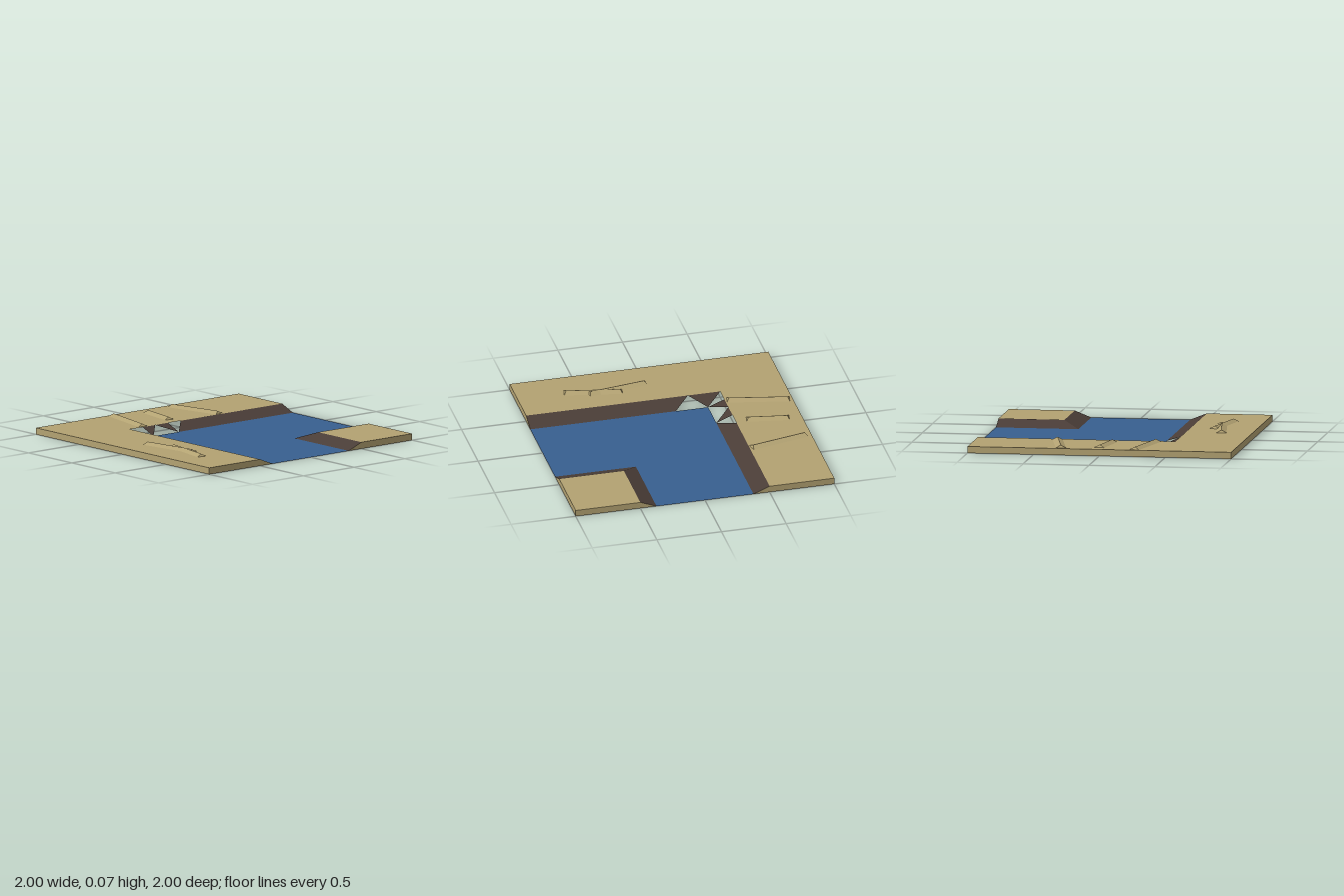
import * as THREE from 'three';

const TOP = 0.05; // ground level; the water lies at y = 0
const RIM = 0.5; // upper edge of the banks
const BED = 0.375; // lower edge of the banks

const makeMaterial = (name, color) => {
  const m = new THREE.MeshStandardMaterial({ color, side: THREE.DoubleSide, flatShading: true });
  m.name = name;
  return m;
};

// Flat convex polygons, each fanned into triangles; faceUp turns them towards +y
function panels(name, material, polygons, faceUp = false) {
  const positions = [];
  for (const polygon of polygons) {
    const pts = polygon.map((p) => new THREE.Vector3(...p));
    const normal = pts[1].clone().sub(pts[0]).cross(pts[2].clone().sub(pts[0]));
    if (faceUp && normal.y < 0) pts.reverse();
    for (let i = 1; i < pts.length - 1; i++) {
      for (const p of [pts[0], pts[i], pts[i + 1]]) positions.push(p.x, p.y, p.z);
    }
  }
  const geometry = new THREE.BufferGeometry();
  geometry.setAttribute('position', new THREE.Float32BufferAttribute(positions, 3));
  geometry.computeVertexNormals();
  const mesh = new THREE.Mesh(geometry, material);
  mesh.name = name;
  return mesh;
}

const rect = (x0, z0, x1, z1, y) => [[x0, y, z1], [x1, y, z1], [x1, y, z0], [x0, y, z0]];

// Low hipped ridge of sand between two crest points
function ridge(x0, z0, x1, z1, material) {
  const length = Math.hypot(x1 - x0, z1 - z0);
  const dx = (x1 - x0) / length, dz = (z1 - z0) / length;
  const half = 0.038, run = 0.015;
  const foot = (x, z, along, side) =>
    [x + dx * along * run - dz * side * half, TOP, z + dz * along * run + dx * side * half];
  const a = [x0, TOP + 0.02, z0], b = [x1, TOP + 0.02, z1];
  const a1 = foot(x0, z0, -1, -1), a2 = foot(x0, z0, -1, 1);
  const b1 = foot(x1, z1, 1, -1), b2 = foot(x1, z1, 1, 1);
  return panels('sandRidge', material, [[a1, b1, b, a], [a2, b2, b, a], [a1, a2, a], [b1, b2, b]], true);
}

export function createModel() {
  const sand = makeMaterial('sand', 0xb3a272);
  const earth = makeMaterial('dark earth', 0x4a3d37);
  const blue = makeMaterial('water blue', 0x385f90);
  const model = new THREE.Group();
  model.name = 'riverBendTile';

  // Ground tops: the outer L and the inner corner block
  model.add(panels('outerGround', sand, [
    rect(-1, -1, -RIM, RIM, TOP),
    rect(-1, RIM, 1, 1, TOP),
  ], true));
  model.add(panels('innerGround', sand, [rect(RIM, -1, 1, -RIM, TOP)], true));

  // Side walls, cut on a slant where the banks meet the tile edge
  model.add(panels('outerWalls', sand, [
    [[-1, 0, 1], [1, 0, 1], [1, TOP, 1], [-1, TOP, 1]],
    [[-1, 0, -1], [-1, 0, 1], [-1, TOP, 1], [-1, TOP, -1]],
    [[-BED, 0, -1], [-1, 0, -1], [-1, TOP, -1], [-RIM, TOP, -1]],
    [[1, 0, 1], [1, 0, BED], [1, TOP, RIM], [1, TOP, 1]],
  ]));
  model.add(panels('innerWalls', sand, [
    [[1, 0, -BED], [1, 0, -1], [1, TOP, -1], [1, TOP, -RIM]],
    [[1, 0, -1], [BED, 0, -1], [RIM, TOP, -1], [1, TOP, -1]],
  ]));

  // Sloping banks; the outer bend is broken into separate triangles with gaps
  const hi = (x, z) => [x, TOP, z];
  const lo = (x, z) => [x, 0, z];
  model.add(panels('outerBank', earth, [
    [hi(-RIM, -1), lo(-BED, -1), lo(-BED, 0.125), hi(-RIM, 0)],
    [hi(-RIM, 0.125), lo(-BED, 0.125), hi(-RIM, 0.25)],
    [hi(-RIM, 0.25), lo(-BED, BED), hi(-RIM, BED)],
    [lo(-BED, BED), hi(-RIM, RIM), hi(-0.25, RIM)],
    [lo(-0.125, BED), hi(-0.25, RIM), hi(1, RIM), lo(1, BED)],
  ], true));
  model.add(panels('innerBank', earth, [
    [hi(RIM, -1), lo(BED, -1), lo(BED, -BED), hi(RIM, -RIM)],
    [hi(RIM, -RIM), lo(BED, -BED), lo(1, -BED), hi(1, -RIM)],
  ], true));

  // Water surface around the bend
  model.add(panels('water', blue, [
    rect(-BED, -1, BED, BED, 0),
    rect(BED, -BED, 1, BED, 0),
  ], true));

  // Sand ridges on the outer ground
  for (const ends of [
    [-0.95, -0.30, -0.53, -0.39],
    [-0.888, -0.013, -0.60, 0.035],
    [-0.962, 0.265, -0.53, 0.355],
    [0.02, 0.767, 0.45, 0.703],
    [0.225, 0.685, 0.625, 0.762],
  ]) model.add(ridge(...ends, sand));

  return model;
}
